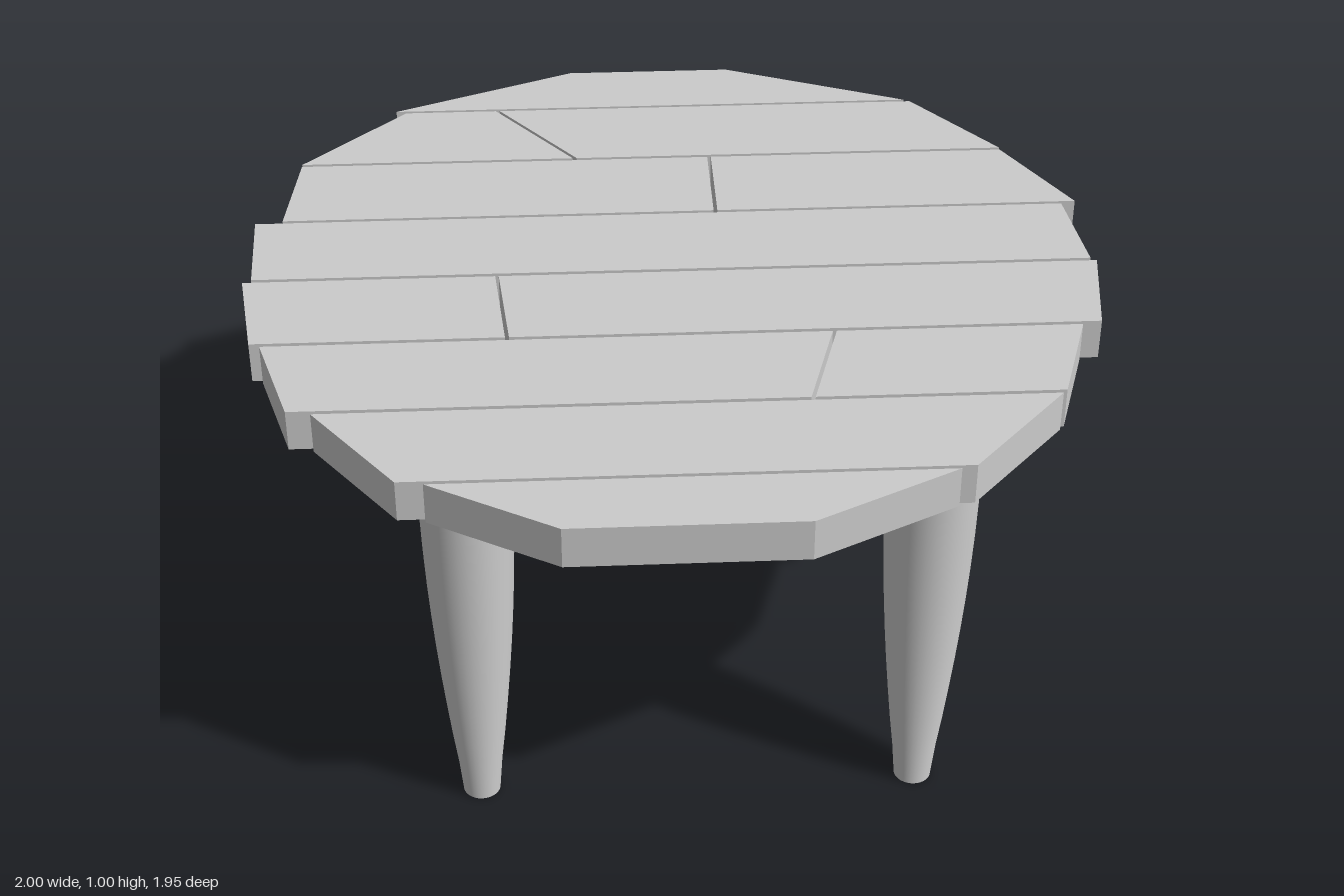
import * as THREE from 'three';

const material = new THREE.MeshStandardMaterial({ color: 0xcccccc });
const TOP = 1, THICKNESS = 0.1;

// Rows of boards: back z, front z, then boards as [back left x, back right x, front right x, front left x]
const rows = [
  [-0.98, -0.793, [-0.22, 0.19, 0.64, -0.67]],
  [-0.784, -0.533, [-0.645, -0.415, -0.222, -0.895], [-0.405, 0.655, 0.85, -0.212]],
  [-0.523, -0.265, [-0.895, 0.114, 0.114, -0.925], [0.123, 0.85, 0.995, 0.123]],
  [-0.255, -0.005, [-0.99, 0.96, 0.987, -0.98]],
  [0.006, 0.263, [-1, -0.413, -0.39, -0.965], [-0.405, 1, 0.965, -0.381]],
  [0.274, 0.53, [-0.94, 0.35, 0.278, -0.865], [0.359, 0.92, 0.84, 0.287]],
  [0.541, 0.795, [-0.81, 0.83, 0.605, -0.62]],
  [0.805, 0.97, [-0.56, 0.57, 0.245, -0.275]],
];

// Flat board cut to a four-sided outline
function makeBoard([bl, br, fr, fl], zBack, zFront) {
  const shape = new THREE.Shape([
    new THREE.Vector2(fl, -zFront), new THREE.Vector2(fr, -zFront),
    new THREE.Vector2(br, -zBack), new THREE.Vector2(bl, -zBack),
  ]);
  const geometry = new THREE.ExtrudeGeometry(shape, { depth: THICKNESS, bevelEnabled: false });
  geometry.rotateX(-Math.PI / 2).translate(0, TOP - THICKNESS, 0);
  const board = new THREE.Mesh(geometry, material);
  board.name = 'board';
  return board;
}

// Round leg that swells gently towards the top, with flat capped ends
function makeLegGeometry() {
  const height = TOP - THICKNESS;
  const geometry = new THREE.CylinderGeometry(1, 1, height, 32, 10);
  geometry.translate(0, height / 2, 0);
  const radius = new THREE.SplineCurve([
    new THREE.Vector2(0, 0.043), new THREE.Vector2(0.25, 0.066),
    new THREE.Vector2(0.5, 0.086), new THREE.Vector2(0.75, 0.099),
    new THREE.Vector2(1, 0.104),
  ]);
  const p = geometry.attributes.position;
  for (let i = 0; i < p.count; i++) {
    const t = THREE.MathUtils.clamp(p.getY(i) / height, 0, 1);
    const r = radius.getPoint(t).y;
    p.setX(i, p.getX(i) * r);
    p.setZ(i, p.getZ(i) * r);
  }
  return geometry;
}

export function createModel() {
  const table = new THREE.Group();
  table.name = 'table';

  // Round top made of boards
  const tableTop = new THREE.Group();
  tableTop.name = 'tableTop';
  for (const [zBack, zFront, ...boards] of rows) {
    for (const outline of boards) tableTop.add(makeBoard(outline, zBack, zFront));
  }
  table.add(tableTop);

  // Four legs
  const legGeometry = makeLegGeometry();
  for (const [side, x] of [['Left', 0.535], ['Right', -0.48]]) {
    for (const [end, z] of [['front', 0.66], ['back', -0.65]]) {
      const leg = new THREE.Mesh(legGeometry, material);
      leg.name = `${end}${side}Leg`;
      leg.position.set(x, 0, z);
      table.add(leg);
    }
  }
  return table;
}
